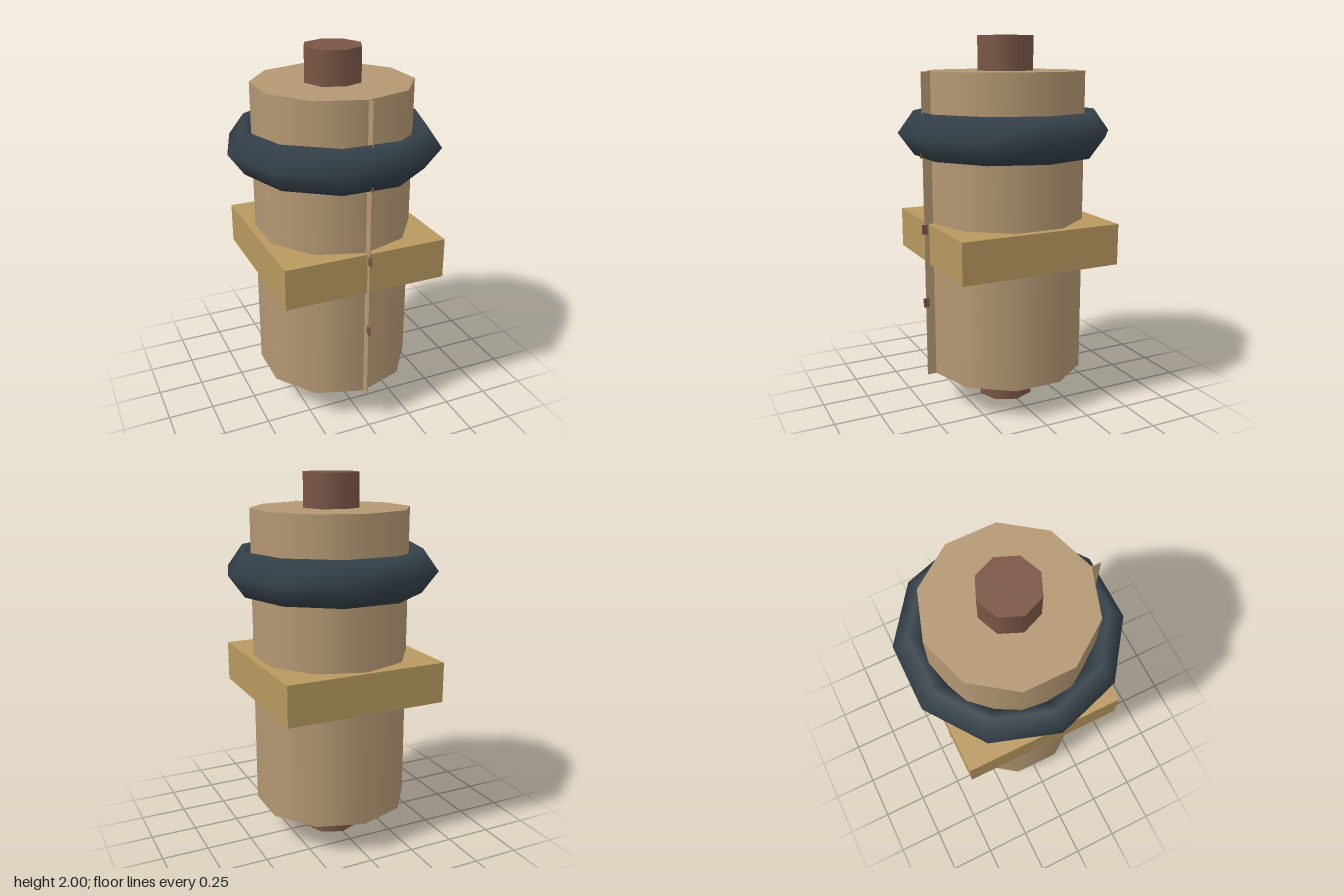
import * as THREE from 'three';

export function createModel() {
  const model = new THREE.Group();
  const paint = (color) => new THREE.MeshStandardMaterial({ color });
  const parchment = paint(0xb49873);
  const wood = paint(0x7a5646);
  const cord = paint(0x35414a);
  const brass = paint(0xb8995f);

  const add = (name, geometry, material, x, y, z) => {
    const mesh = new THREE.Mesh(geometry, material);
    mesh.name = name;
    mesh.position.set(x, y, z);
    model.add(mesh);
    return mesh;
  };

  // Wooden rod through the middle, with the rolled body around it
  add('rod', new THREE.CylinderGeometry(0.156, 0.156, 2, 8), wood, 0, 1, 0);
  add('rolledBody', new THREE.CylinderGeometry(0.425, 0.425, 1.64, 10), parchment, 0, 1, 0);

  // Tie ring: a four-sided tube, stretched in height
  const ring = new THREE.TorusGeometry(0.489, 0.085, 4, 10);
  ring.scale(1, 1, 1.38);
  ring.rotateX(Math.PI / 2);
  add('tieRing', ring, cord, 0, 1.497, 0);

  // Square collar
  add('collar', new THREE.BoxGeometry(0.894, 0.22, 0.894), brass, 0, 0.92, 0);

  // Thin loose edge standing off the front, with small marks along it
  add('looseEdge', new THREE.BoxGeometry(0.005, 1.64, 0.1), parchment, 0, 1, 0.423);
  for (const y of [0.595, 1.0, 1.405]) {
    add('edgeMark', new THREE.BoxGeometry(0.007, 0.05, 0.03), wood, 0, y, 0.471);
  }

  return model;
}
